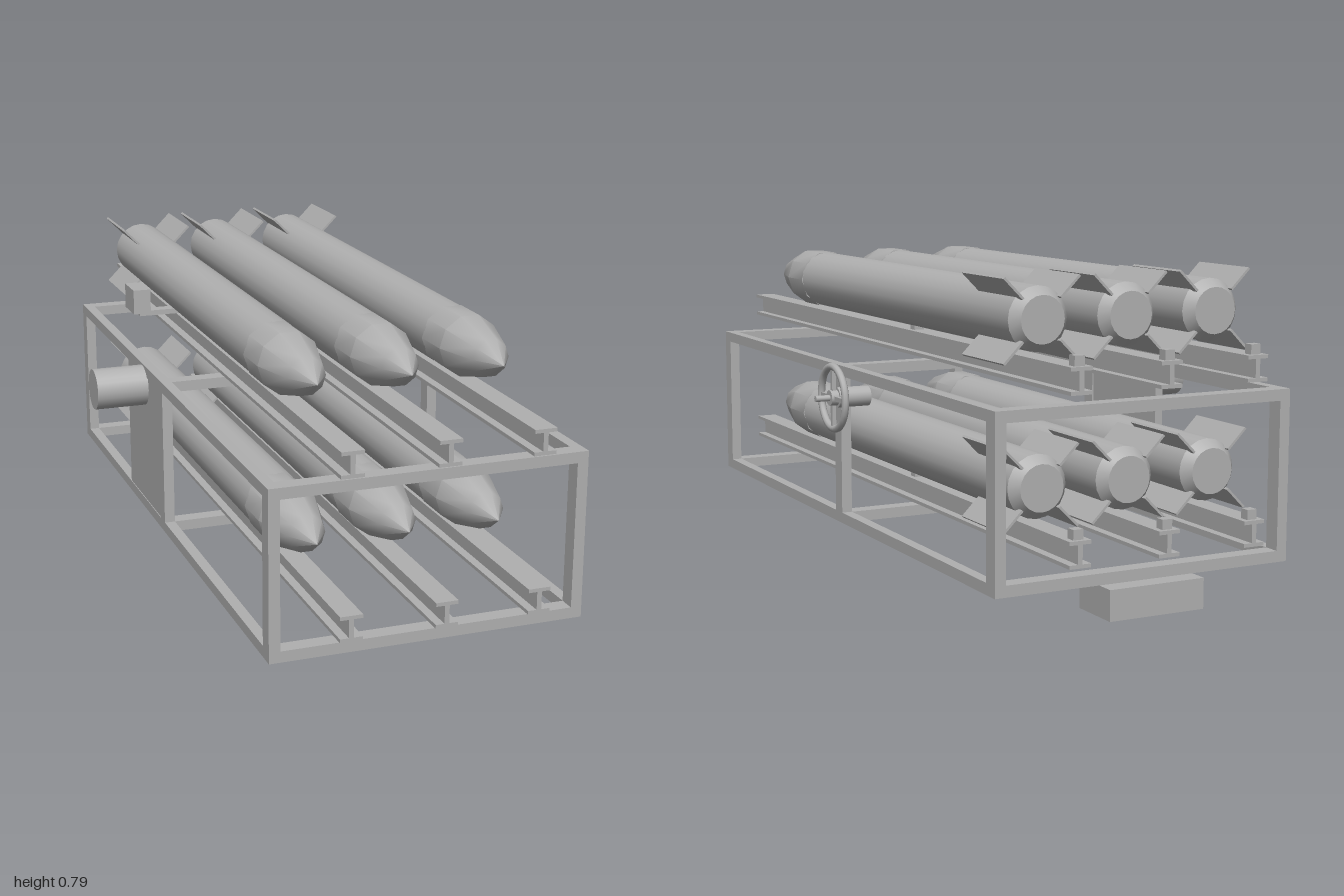
import * as THREE from 'three';
import { toCreasedNormals } from 'three/addons/utils/BufferGeometryUtils.js';

export function createModel() {
  const model = new THREE.Group();
  model.name = 'rocketRack';
  const grey = new THREE.MeshStandardMaterial({ name: 'grey', color: 0xb0b0b0 });

  function add(parent, name, geometry, x = 0, y = 0, z = 0) {
    const mesh = new THREE.Mesh(geometry, grey);
    mesh.name = name;
    mesh.position.set(x, y, z);
    parent.add(mesh);
    return mesh;
  }
  // Box given by its two extreme values on each axis
  function block(parent, name, [x0, x1], [y0, y1], [z0, z1]) {
    return add(parent, name, new THREE.BoxGeometry(x1 - x0, y1 - y0, z1 - z0),
      (x0 + x1) / 2, (y0 + y1) / 2, (z0 + z1) / 2);
  }
  // Cylinder lying along x
  function barX(parent, name, radius, x0, x1, y, z, sides = 24) {
    const g = new THREE.CylinderGeometry(radius, radius, x1 - x0, sides).rotateZ(Math.PI / 2);
    return add(parent, name, g, (x0 + x1) / 2, y, z);
  }
  // Turned shape along z from [radius, z] points, running from back to front
  function turned(points, sides, crease) {
    const pts = points.map(([r, z]) => new THREE.Vector2(r, z));
    const g = new THREE.LatheGeometry(pts, sides, Math.PI / 2).rotateX(Math.PI / 2);
    return toCreasedNormals(g, crease);
  }

  // Open box frame
  const frame = new THREE.Group();
  frame.name = 'frame';
  model.add(frame);
  const W = 0.4, L = 0.905, Y0 = 0.075, Y1 = 0.5, T = 0.028, D = 0.043;
  for (const [y0, y1] of [[Y0, Y0 + T], [Y1 - T, Y1]]) {
    for (const x0 of [-W, W - T]) block(frame, 'longRail', [x0, x0 + T], [y0, y1], [-L, L]);
    for (const z0 of [-L, -D / 2, L - D])
      block(frame, 'crossBar', [-W + T, W - T], [y0, y1], [z0, z0 + D]);
  }
  for (const x0 of [-W, W - T])
    for (const z0 of [-L, -D / 2, L - D])
      block(frame, 'post', [x0, x0 + T], [Y0 + T, Y1 - T], [z0, z0 + D]);

  // Shared shapes for rails and rockets
  const noseGeo = turned([[0.077, 0.47], [0.08, 0.47], [0.08, 0.578], [0.048, 0.7], [0, 0.775]], 10, 0.65);
  const bodyGeo = turned([[0, -0.823], [0.057, -0.823], [0.077, -0.797], [0.077, 0.475]], 20, 0.5);
  const finGeo = new THREE.BoxGeometry(0.07, 0.006, 0.21);

  function launcher(x, railY) {
    const g = new THREE.Group();
    g.name = 'launcher';
    g.position.set(x, railY, 0);
    model.add(g);
    // I-beam rail with end stop and support lug
    block(g, 'railBottomFlange', [-0.028, 0.028], [0, 0.009], [-1, 1]);
    block(g, 'railWeb', [-0.006, 0.006], [0.009, 0.054], [-1, 1]);
    block(g, 'railTopFlange', [-0.028, 0.028], [0.054, 0.063], [-1, 1]);
    block(g, 'railStop', [-0.013, 0.013], [0.063, 0.087], [-0.99, -0.965]);
    block(g, 'supportLug', [-0.014, 0.014], [0.063, 0.08], [-0.16, -0.135]);
    // Rocket
    const rocket = new THREE.Group();
    rocket.name = 'rocket';
    rocket.position.y = 0.15;
    g.add(rocket);
    add(rocket, 'nose', noseGeo);
    add(rocket, 'body', bodyGeo);
    for (let i = 0; i < 4; i++) {
      const a = Math.PI / 4 + i * Math.PI / 2;
      const fin = add(rocket, 'fin', finGeo, 0.104 * Math.cos(a), 0.104 * Math.sin(a), -0.715);
      fin.rotation.z = a;
    }
  }
  for (const railY of [0.148, 0.538])
    for (const x of [-0.235, 0, 0.235]) launcher(x, railY);

  // Handwheel on the left side
  const wheel = new THREE.Group();
  wheel.name = 'handwheel';
  wheel.position.set(0, 0.44, -0.175);
  model.add(wheel);
  barX(wheel, 'shaft', 0.026, 0.39, 0.476, 0, 0);
  barX(wheel, 'hub', 0.02, 0.476, 0.496, 0, 0);
  barX(wheel, 'handle', 0.008, 0.49, 0.534, 0, 0, 12);
  add(wheel, 'rim', new THREE.TorusGeometry(0.08, 0.0095, 10, 32).rotateY(Math.PI / 2), 0.485);
  block(wheel, 'spoke', [0.48, 0.49], [-0.078, 0.078], [-0.006, 0.006]);
  block(wheel, 'spoke', [0.48, 0.49], [-0.006, 0.006], [-0.078, 0.078]);

  // Side panel with drum
  block(model, 'sidePanel', [-0.398, -0.376], [0.103, 0.472], [-0.347, -0.02]);
  barX(model, 'drum', 0.056, -0.54, -0.39, 0.44, -0.18);

  // Sight on its arm
  block(model, 'sightArm', [-0.376, -0.262], [0.608, 0.622], [-0.32, -0.285]);
  block(model, 'sightBox', [-0.4, -0.352], [0.622, 0.69], [-0.35, -0.255]);
  add(model, 'eyepiece', new THREE.CylinderGeometry(0.011, 0.011, 0.03, 12).rotateX(Math.PI / 2),
    -0.376, 0.656, -0.365);

  // Box below the rear end
  block(model, 'rearBox', [-0.128, 0.128], [0, 0.075], [-0.953, -0.815]);

  return model;
}
